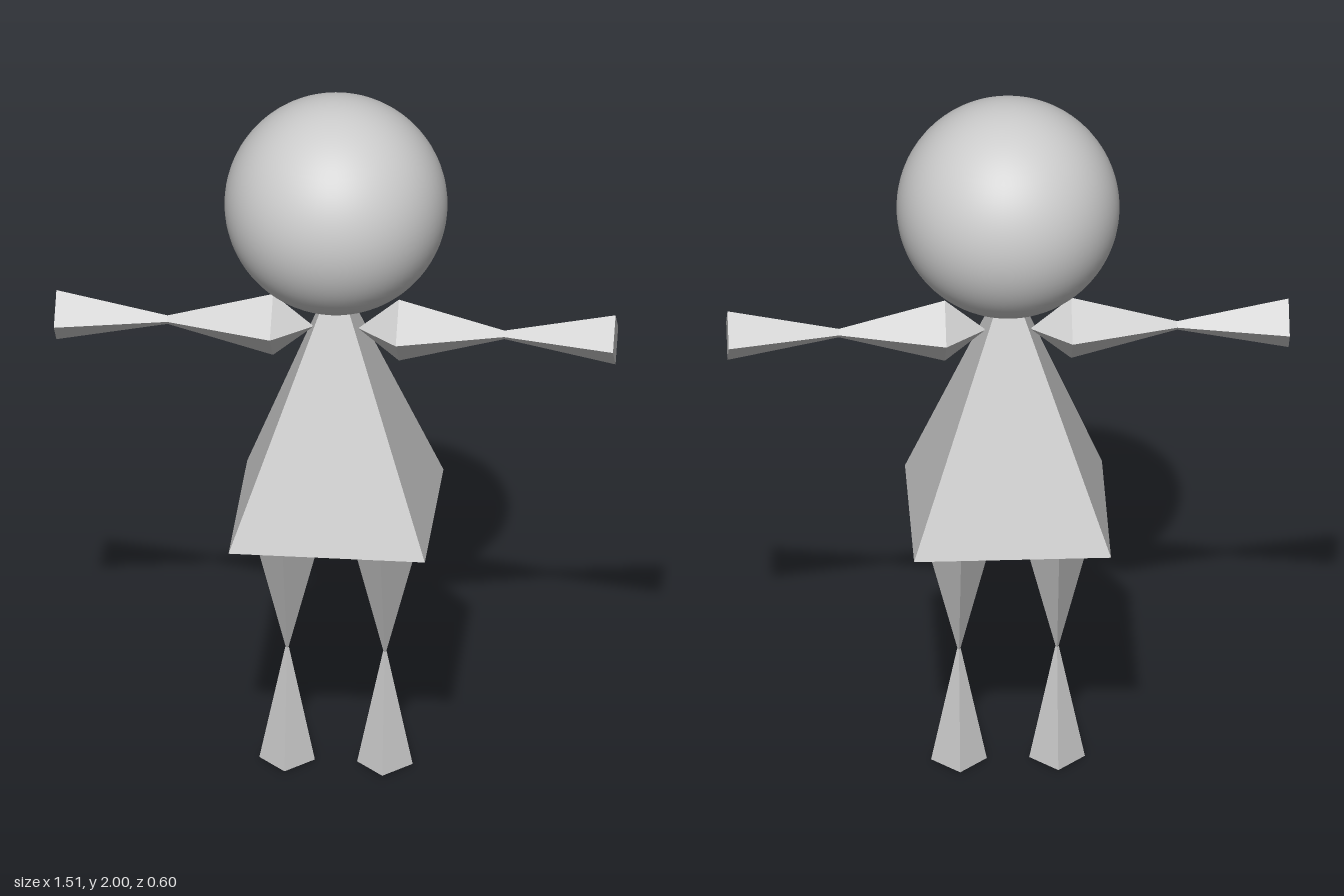
import * as THREE from 'three';

const flat = new THREE.MeshStandardMaterial({ color: 0xcccccc, flatShading: true });
const smooth = new THREE.MeshStandardMaterial({ color: 0xcccccc });

// Four-sided taper along +y, from radius r0 at y0 to radius r1 at y1
function taper(name, y0, r0, y1, r1) {
  const geometry = new THREE.CylinderGeometry(r1, r0, y1 - y0, 4);
  geometry.translate(0, (y0 + y1) / 2, 0);
  const mesh = new THREE.Mesh(geometry, flat);
  mesh.name = name;
  return mesh;
}

// Arm reaching out along +x: shoulder point, upper arm, forearm
function createArm() {
  const arm = new THREE.Group();
  arm.add(
    taper('shoulder', 0.06, 0, 0.17, 0.093),
    taper('upperArm', 0.17, 0.093, 0.455, 0.013),
    taper('forearm', 0.455, 0.013, 0.755, 0.075)
  );
  arm.rotation.z = -Math.PI / 2;
  arm.position.y = 1.323;
  return arm;
}

// Leg: the thigh is deeper than it is wide, the shin is square
function createLeg() {
  const leg = new THREE.Group();
  const thigh = taper('thigh', 0.34, 0.005, 0.76, 0.15);
  thigh.scale.x = 0.74;
  leg.add(thigh, taper('shin', 0, 0.075, 0.34, 0.005));
  leg.position.x = 0.132;
  return leg;
}

export function createModel() {
  const model = new THREE.Group();
  model.name = 'figure';

  // Head
  const head = new THREE.Mesh(new THREE.SphereGeometry(0.3, 64, 40), smooth);
  head.name = 'head';
  head.position.y = 1.7;

  // Dress: square pyramid with its sides facing the axes
  const dress = taper('dress', 0.76, 0.265 * Math.SQRT2, 1.5, 0);
  dress.rotation.y = Math.PI / 4;
  model.add(head, dress);

  // Limbs, turned half around the y axis for the right side
  for (const [side, angle] of [['left', 0], ['right', Math.PI]]) {
    const limbs = new THREE.Group();
    limbs.name = side + 'Limbs';
    const arm = createArm();
    arm.name = side + 'Arm';
    const leg = createLeg();
    leg.name = side + 'Leg';
    limbs.add(arm, leg);
    limbs.rotation.y = angle;
    model.add(limbs);
  }
  return model;
}
